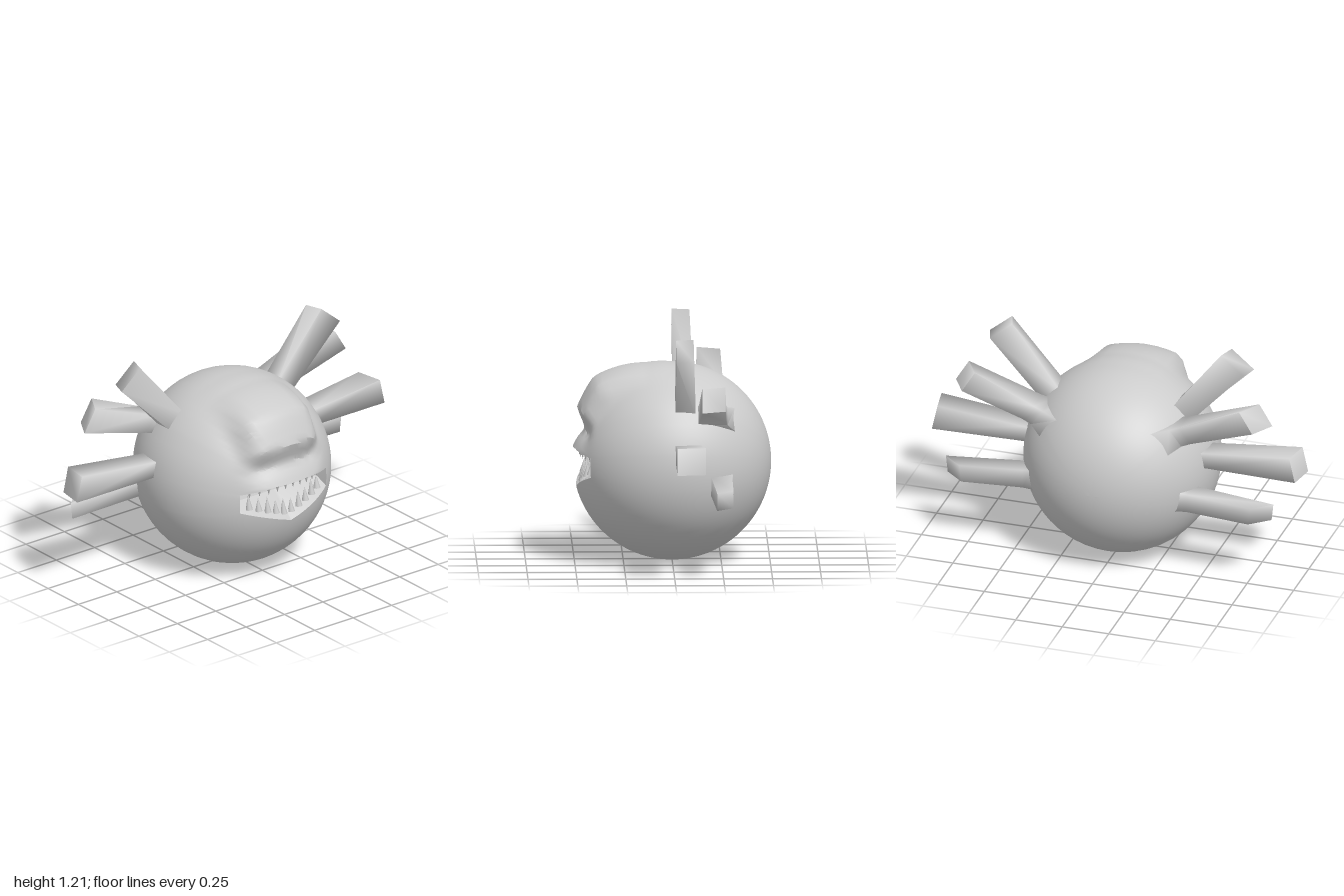
import * as THREE from 'three';
import { toCreasedNormals } from 'three/addons/utils/BufferGeometryUtils.js';

const R = 0.507, CY = 0.51;
const V = (x, y, z) => new THREE.Vector3(x, y, z);
const { lerp, smoothstep, radToDeg } = THREE.MathUtils;

// Skin a list of closed rings; optionally cap the last one
function loft(rings, crease, cap = false) {
  const n = rings[0].length, index = [];
  for (let i = 0; i < rings.length - 1; i++) {
    for (let j = 0; j < n; j++) {
      const a = i * n + j, b = i * n + (j + 1) % n;
      index.push(a, b, a + n, b, b + n, a + n);
    }
  }
  const last = (rings.length - 1) * n;
  if (cap) for (let j = 1; j < n - 1; j++) index.push(last, last + j, last + j + 1);
  const g = new THREE.BufferGeometry().setFromPoints(rings.flat());
  g.setIndex(index);
  return toCreasedNormals(g, crease);
}

// Radius of the face profile by elevation angle (degrees)
const PROFILE = [[0, 0.505], [8.5, 0.512], [13, 0.5], [20, 0.475], [23, 0.488], [30, 0.56],
  [36, 0.567], [47, 0.587], [60, 0.556], [75, 0.52], [90, 0.507]];
function profileRadius(deg) {
  for (let i = 1; i < PROFILE.length; i++) {
    const [a, ra] = PROFILE[i - 1], [b, rb] = PROFILE[i];
    if (deg >= a && deg <= b) return lerp(ra, rb, (deg - a) / (b - a));
  }
  return R;
}

// Point of the body surface along a unit direction, with the raised brow
function skin(dir) {
  const w = 1 - smoothstep(Math.abs(dir.x) * R, 0.15, 0.26);
  const r = lerp(R, profileRadius(radToDeg(Math.atan2(dir.y, dir.z))), w);
  return V(dir.x * r, dir.y * r + CY, dir.z * r);
}

// Mouth outline, clockwise from the front
function mouthDirections() {
  const corners = [[0.28, 0.56], [0.28, 0.46], [0, 0.37], [-0.28, 0.46], [-0.28, 0.56], [-0.1, 0.585], [0.1, 0.585]];
  const steps = [5, 16, 16, 5, 6, 20, 6];
  const dirs = [];
  corners.forEach(([x0, y0], k) => {
    const [x1, y1] = corners[(k + 1) % corners.length];
    for (let s = 0; s < steps[k]; s++) {
      const t = s / steps[k];
      const x = lerp(x0, x1, t), y = lerp(y0, y1, t) - CY;
      dirs.push(V(x, y, Math.sqrt(R * R - x * x - y * y)).normalize());
    }
  });
  return dirs;
}

// Four-sided spike: front outline of root and tip, depth ranges, and slant of the tip
const SPIKES = [
  { root: [[0.28, 0.85], [0.36, 0.77]], tip: [[0.59, 1.21], [0.71, 1.11]], zr: [-0.01, -0.115], zt: [-0.01, -0.1], slant: 0.03 },
  { root: [[0.37, 0.84], [0.43, 0.76]], tip: [[0.78, 0.985], [0.85, 0.87]], zr: [-0.13, -0.27], zt: [-0.14, -0.26], slant: 0.07 },
  { root: [[0.46, 0.65], [0.46, 0.57]], tip: [[0.97, 0.705], [1.0, 0.57]], zr: [-0.01, -0.14], zt: [-0.01, -0.155], slant: 0.025 },
  { root: [[0.42, 0.49], [0.42, 0.39]], tip: [[0.88, 0.46], [0.87, 0.37]], zr: [-0.19, -0.3], zt: [-0.215, -0.3], slant: 0.1 },
];

function spikeGeometry({ root, tip, zr, zt, slant }, side) {
  const quad = ([top, bottom], [f, b], s) => [
    V(top[0], top[1], f), V(bottom[0], bottom[1], f),
    V(bottom[0] - s, bottom[1], b), V(top[0] - s, top[1], b)];
  const a = quad(root, zr, 0), c = quad(tip, zt, slant);
  const at = (t, scale) => {
    const ring = a.map((p, i) => p.clone().lerp(c[i], t));
    const mid = ring.reduce((m, p) => m.add(p), V(0, 0, 0)).multiplyScalar(0.25);
    return ring.map((p) => p.sub(mid).multiplyScalar(scale).add(mid));
  };
  // flared foot sunk into the body, then the straight shaft
  const rings = [at(-0.32, 1.6), at(-0.08, 1.08), at(0.06, 1), at(1, 1)];
  if (side < 0) rings.forEach((ring) => { ring.forEach((p) => { p.x *= -1; }); ring.reverse(); });
  return loft(rings, 1.7, true);
}

export function createModel() {
  const group = new THREE.Group();
  const grey = new THREE.MeshStandardMaterial({ color: 0xcccccc });
  const add = (geometry, name, parent = group) => {
    const m = new THREE.Mesh(geometry, grey);
    m.name = name;
    parent.add(m);
    return m;
  };

  // Body: rings spreading from the mouth rim to the back pole
  const dirs = mouthDirections(), RINGS = 64;
  const rings = [];
  for (let i = 0; i <= RINGS; i++) {
    rings.push(dirs.map((d) => {
      const angle = lerp(Math.acos(d.z), Math.PI, i / RINGS);
      const az = Math.atan2(d.y, d.x), s = Math.sin(angle);
      return skin(V(Math.cos(az) * s, Math.sin(az) * s, Math.cos(angle)));
    }));
  }
  add(loft(rings, 0.6), 'body');

  // Mouth cavity: sloping gums, then a shallow throat
  const rim = rings[0].slice().reverse();
  const gum = rim.map((p) => V(p.x * 0.95, p.y < 0.51 ? 0.5 : 0.55, 0.36));
  const throat = gum.map((p) => V(p.x * 0.7, p.y, 0.22));
  const end = throat.map(() => V(0, 0.525, 0.2));
  add(loft([rim, gum, throat, end], 0.5), 'mouthCavity');

  // Teeth: tall cones below, short ones above
  const teeth = new THREE.Group();
  teeth.name = 'teeth';
  group.add(teeth);
  const frontZ = (x, y) => Math.sqrt(R * R - x * x - (y - CY) ** 2);
  for (let i = 0; i < 10; i++) {
    const x = -0.22 + i * 0.44 / 9;
    const lipY = 0.37 + Math.abs(x) * 0.32;
    const h = 0.085 - (i % 2) * 0.012;
    const lower = add(new THREE.ConeGeometry(0.019, h, 8), 'lowerTooth', teeth);
    lower.position.set(x, lipY + 0.025 + h / 2, frontZ(x, lipY) - 0.035);
    lower.rotation.x = -0.12;
    const upper = add(new THREE.ConeGeometry(0.011, 0.045, 8), 'upperTooth', teeth);
    upper.position.set(x, 0.55 + 0.015 * (1 - Math.abs(x) / 0.22), frontZ(x, 0.57) - 0.03);
    upper.rotation.x = Math.PI;
  }

  // Spikes on both sides
  for (const side of [1, -1]) {
    SPIKES.forEach((s, i) => add(spikeGeometry(s, side), `${side > 0 ? 'left' : 'right'}Spike${i + 1}`));
  }
  return group;
}
